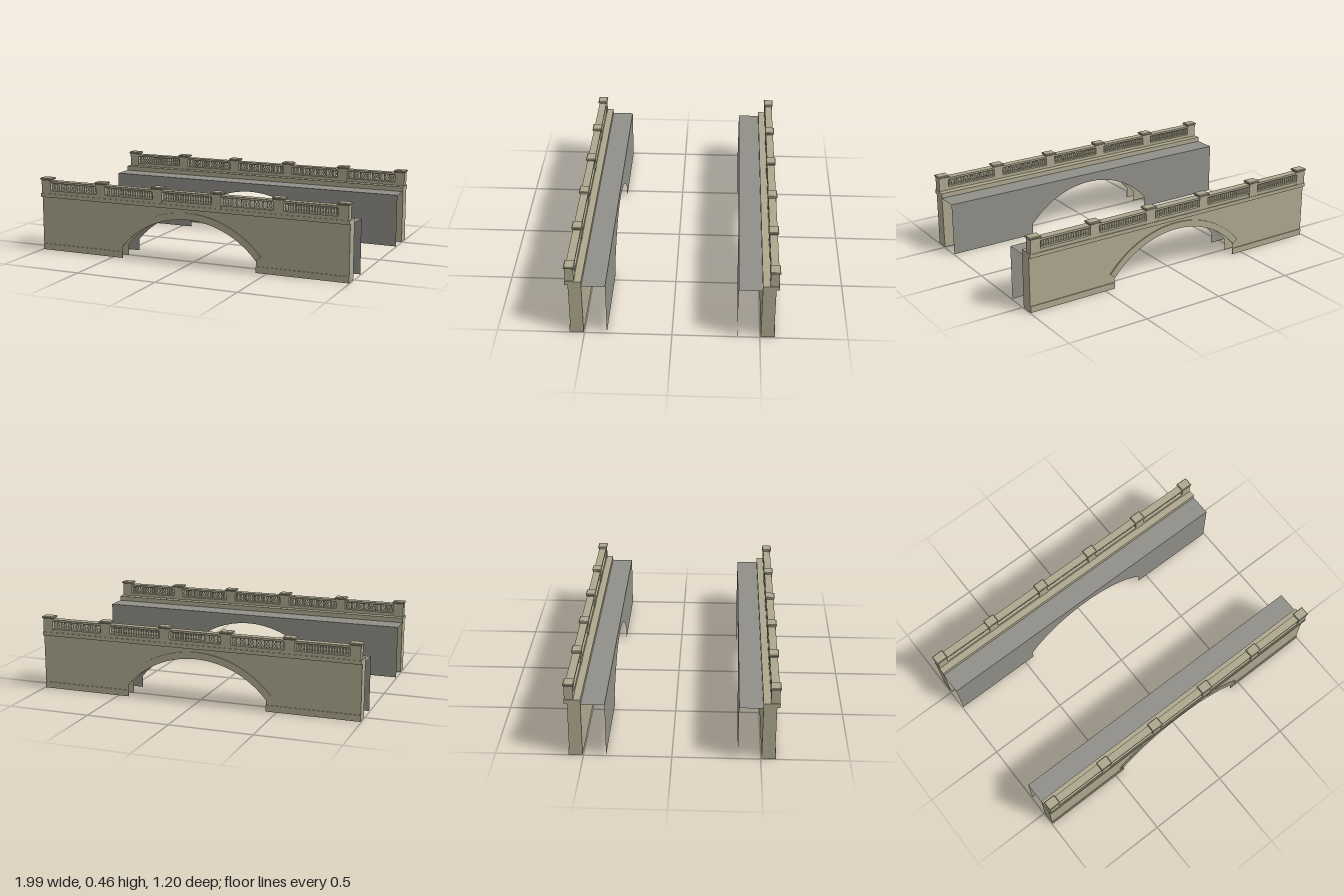
import * as THREE from 'three';
import { mergeGeometries, toCreasedNormals } from 'three/addons/utils/BufferGeometryUtils.js';

const HALF = 0.995;      // half length of the walls
const TOP = 0.358;       // wall top
const DECK = 0.328;      // grey deck height
const SPAN = 0.435;      // half width of the arch opening
const SPRING = 0.07;     // height where the arch starts
const CROWN = 0.273;     // underside of the arch at mid span
const RISE = CROWN - SPRING;
const R = (SPAN * SPAN + RISE * RISE) / (2 * RISE);
const CY = CROWN - R;
const A0 = Math.atan2(SPRING - CY, SPAN);
const A1 = Math.PI - A0;

const stone = new THREE.MeshStandardMaterial({ color: 0xaea88f, side: THREE.DoubleSide });
stone.name = 'sandstone';
const lining = new THREE.MeshStandardMaterial({ color: 0x908f88, side: THREE.DoubleSide });
lining.name = 'greyLining';

// Flat sheet with the segmental arch cut out of its bottom edge
function archedSheet(height, z) {
  const s = new THREE.Shape();
  s.moveTo(-HALF, 0);
  s.lineTo(-SPAN, 0);
  s.lineTo(-SPAN, SPRING);
  s.absarc(0, CY, R, A1, A0, true);
  s.lineTo(SPAN, 0);
  s.lineTo(HALF, 0);
  s.lineTo(HALF, height);
  s.lineTo(-HALF, height);
  s.closePath();
  return new THREE.ShapeGeometry(s, 40).translate(0, 0, z);
}

// Horizontal strip along the whole length
function strip(y, z0, z1) {
  return new THREE.PlaneGeometry(2 * HALF, z1 - z0)
    .rotateX(-Math.PI / 2).translate(0, y, (z0 + z1) / 2);
}

// Box given by its extents
function block(x0, x1, y0, y1, z0, z1) {
  const g = new THREE.BoxGeometry(x1 - x0, y1 - y0, z1 - z0);
  return g.translate((x0 + x1) / 2, (y0 + y1) / 2, (z0 + z1) / 2);
}

// Thin slab with chamfered rims, centred on x and z, standing on y
function capSlab(x, y, z) {
  const w = 0.0335, d = 0.026;
  const s = new THREE.Shape([[-w, -d], [w, -d], [w, d], [-w, d]].map(([a, b]) => new THREE.Vector2(a, b)));
  const g = new THREE.ExtrudeGeometry(s, {
    depth: 0.005, bevelThickness: 0.004, bevelSize: 0.004, bevelSegments: 1,
  });
  return g.rotateX(-Math.PI / 2).translate(x, y + 0.004, z);
}

function add(group, name, geometry, material = stone) {
  const mesh = new THREE.Mesh(geometry, material);
  mesh.name = name;
  group.add(mesh);
}

// One side of the bridge, outer face towards +z
function buildSide() {
  const side = new THREE.Group();

  // Hollow wall, open underneath and around the arch
  add(side, 'outerFace', archedSheet(TOP, 0.58));
  add(side, 'wallBack', archedSheet(TOP, 0.505).scale(-1, 1, 1).rotateY(0));
  add(side, 'wallTop', strip(TOP, 0.505, 0.58));
  add(side, 'wallEnds', mergeGeometries([-1, 1].map((s) =>
    new THREE.PlaneGeometry(0.075, TOP).rotateY((s * Math.PI) / 2).translate(s * HALF, TOP / 2, 0.5425))));

  // Raised arch ring with radial ends
  const ring = new THREE.Shape();
  ring.absarc(0, CY, R, A0, A1, false);
  ring.absarc(0, CY, R + 0.04, A1, A0, true);
  ring.closePath();
  const ringBody = new THREE.ExtrudeGeometry(ring, { depth: 0.007, bevelEnabled: false, curveSegments: 40 });
  add(side, 'archRing', toCreasedNormals(ringBody.translate(0, 0, 0.58), 0.5));

  // Plinth strips and string course
  add(side, 'plinth', mergeGeometries([
    block(-HALF, -SPAN, 0, 0.038, 0.58, 0.585),
    block(SPAN, HALF, 0, 0.038, 0.58, 0.585),
  ]));
  add(side, 'stringCourse', block(-HALF, HALF, 0.335, TOP, 0.58, 0.598));

  // Grey sheets behind the wall: a lower deck strip and an arched inner face
  add(side, 'deckStrip', strip(DECK, 0.372, 0.505), lining);
  add(side, 'innerFace', archedSheet(DECK, 0.372), lining);

  // Posts with chamfered caps
  const posts = [], caps = [], rails = [], balusters = [];
  const step = 0.3834, zMid = 0.57, post = 0.031;
  const profile = [[0.0075, 0], [0.0075, 0.006], [0.006, 0.009], [0.0078, 0.02], [0.007, 0.029],
    [0.006, 0.038], [0.0075, 0.042], [0.0075, 0.048]].map(([r, y]) => new THREE.Vector2(r, y));
  const baluster = new THREE.LatheGeometry(profile, 8);
  for (let i = 0; i < 6; i++) {
    const x = (i - 2.5) * step;
    posts.push(block(x - post, x + post, TOP, 0.443, 0.545, 0.595));
    caps.push(capSlab(x, 0.442, zMid));
    if (i === 5) continue;

    // Rails and closely set turned balusters between this post and the next
    const x0 = x + post, x1 = x + step - post;
    rails.push(block(x0, x1, TOP, 0.378, 0.547, 0.593));
    rails.push(block(x0, x1, 0.425, 0.437, 0.547, 0.593));
    const n = 20;
    for (let k = 0; k < n; k++) {
      const bx = x0 + ((k + 0.5) * (x1 - x0)) / n;
      balusters.push(baluster.clone().translate(bx, 0.3775, zMid));
    }
  }
  add(side, 'posts', mergeGeometries(posts));
  add(side, 'postCaps', mergeGeometries(caps));
  add(side, 'rails', mergeGeometries(rails));
  add(side, 'balusters', mergeGeometries(balusters));
  return side;
}

export function createModel() {
  const model = new THREE.Group();
  model.name = 'archBridgeSides';
  const front = buildSide();
  front.name = 'frontSide';
  const back = buildSide();
  back.name = 'backSide';
  back.rotation.y = Math.PI;
  model.add(front, back);
  return model;
}
